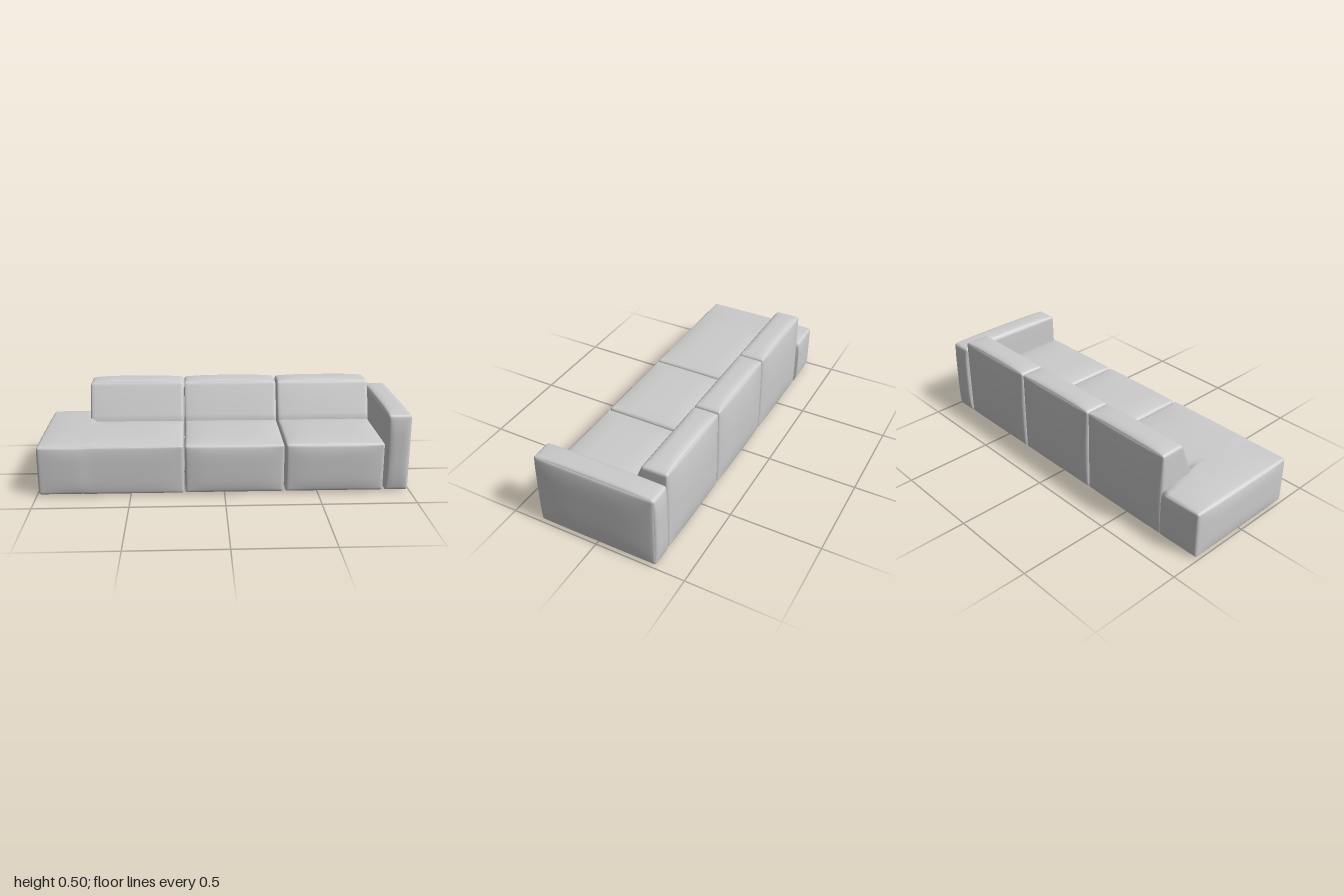
import * as THREE from 'three';
import { mergeVertices } from 'three/addons/utils/BufferGeometryUtils.js';

const material = new THREE.MeshStandardMaterial({ color: 0xcccccc });

// Upholstered block: rounded box with softly puffed faces.
// min/max are the seam corners; puff gives the crown height of each side.
function cushion(name, min, max, puff, rule, n = 28, r = 0.013) {
  const geo = new THREE.BoxGeometry(2, 2, 2, n, n, n);
  geo.deleteAttribute('uv');
  geo.deleteAttribute('normal');
  const pos = geo.attributes.position;
  const half = min.map((a, i) => (max[i] - a) / 2);
  const mid = min.map((a, i) => (max[i] + a) / 2);
  for (let i = 0; i < pos.count; i++) {
    // crowd the grid toward the edges
    const s = [pos.getX(i), pos.getY(i), pos.getZ(i)]
      .map(t => Math.sign(t) * (1 - (1 - Math.abs(t)) ** 2));
    // round the edges
    const q = s.map((t, k) => THREE.MathUtils.clamp(t * half[k], r - half[k], half[k] - r));
    const d = s.map((t, k) => t * half[k] - q[k]);
    const len = Math.hypot(...d);
    const p = q.map((v, k) => v + (len > 1e-9 ? d[k] * r / Math.max(len, r) : 0));
    // puff the faces
    const fade = s.map(t => 1 - t ** 4);
    const out = p.map((v, k) => {
      const amount = s[k] > 0 ? puff[k][1] : puff[k][0];
      return mid[k] + v + amount * s[k] * fade[(k + 1) % 3] * fade[(k + 2) % 3];
    });
    if (rule) rule(out);
    pos.setXYZ(i, ...out);
  }
  const merged = mergeVertices(geo, 1e-5);
  merged.computeVertexNormals();
  const mesh = new THREE.Mesh(merged, material);
  mesh.name = name;
  return mesh;
}

export function createModel() {
  const sofa = new THREE.Group();
  sofa.name = 'modularSofa';
  const floor = 0.007, backFront = -0.113;

  // Open-ended seat, notched behind to receive its backrest
  const front = 0.336, rear = -0.336;
  sofa.add(cushion('openEndSeat', [-0.988, floor, rear], [-0.218, 0.273, front],
    [[0.012, 0], [0, 0.017], [0.01, 0.012]],
    p => {
      if (p[0] > -0.748) p[2] = front + (p[2] - front) * (front - backFront) / (front - rear);
    }, 36));

  // Two plain seats
  [['middleSeat', -0.21, 0.318], ['endSeat', 0.327, 0.853]].forEach(([name, x0, x1]) =>
    sofa.add(cushion(name, [x0, floor, backFront], [x1, 0.273, front],
      [[0.002, 0.002], [0, 0.017], [0, 0.012]])));

  // Backrests: upright below the seat top, leaning back above it
  const backRear = -0.335;
  const lean = p => {
    const t = THREE.MathUtils.clamp((p[1] - 0.275) / 0.205, 0, 1);
    p[2] = backRear + (p[2] - backRear) * (1 - 0.37 * t);
  };
  [['openEndBack', -0.75, -0.218], ['middleBack', -0.212, 0.318], ['endBack', 0.326, 0.855]]
    .forEach(([name, x0, x1]) =>
      sofa.add(cushion(name, [x0, floor, backRear], [x1, 0.481, backFront],
        [[0.002, 0.002], [0, 0.015], [0.018, 0.004]], lean)));

  // Armrest on the left end
  sofa.add(cushion('armrest', [0.862, floor, -0.336], [0.988, 0.429, 0.336],
    [[0.002, 0.012], [0, 0.012], [0.013, 0.014]]));

  // Small glides under every module
  const feet = new THREE.Group();
  feet.name = 'feet';
  const footGeo = new THREE.CylinderGeometry(0.011, 0.009, 0.012, 16);
  const addFoot = (x, z) => {
    const foot = new THREE.Mesh(footGeo, material);
    foot.name = 'foot';
    foot.position.set(x, 0.006, z);
    feet.add(foot);
  };
  [[-0.92, -0.28], [-0.15, 0.26], [0.39, 0.79]].forEach(xs =>
    xs.forEach(x => [0.245, -0.07].forEach(z => addFoot(x, z))));
  [[-0.69, -0.28], [-0.15, 0.26], [0.39, 0.79]].forEach(xs =>
    xs.forEach(x => addFoot(x, -0.26)));
  addFoot(-0.92, -0.26);
  [0.245, -0.26].forEach(z => addFoot(0.925, z));
  sofa.add(feet);

  return sofa;
}
